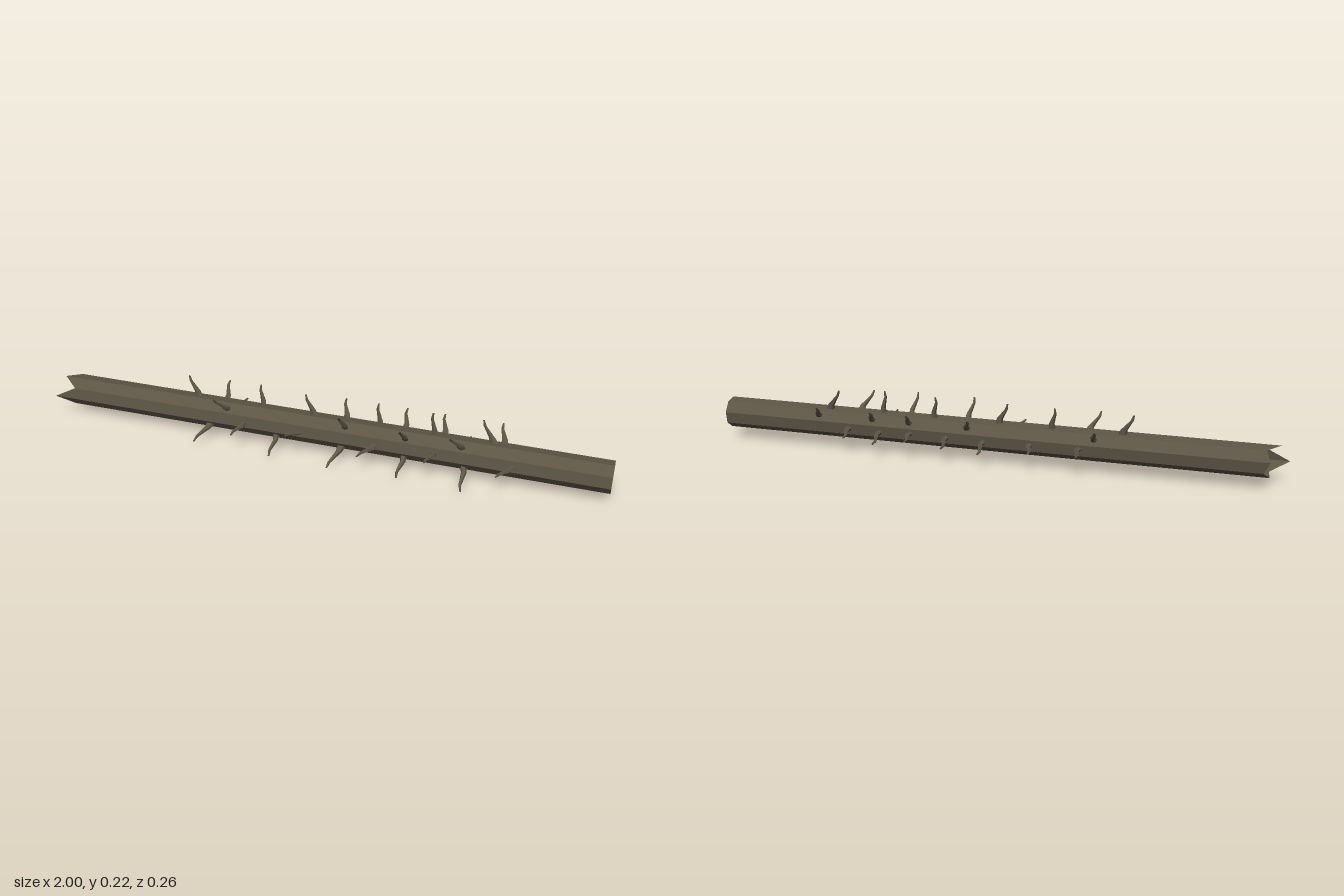
import * as THREE from 'three';

const AXIS_Y = 0.093, RADIUS = 0.055;
const rad = THREE.MathUtils.degToRad;

// Thin open eight-sided stalk lying along x, snapped off raggedly at its -x end
function stalkGeometry() {
  const brokenEnd = [-1, -0.935, -0.94, -0.92, -0.94, -0.925, -0.97, -0.92];
  const geo = new THREE.CylinderGeometry(RADIUS, RADIUS, 2, 8, 1, true, rad(14));
  geo.rotateZ(-Math.PI / 2);
  const p = geo.attributes.position;
  for (let i = 0; i < p.count; i++) {
    if (p.getX(i) < 0) p.setX(i, brokenEnd[(i % 9) % 8]);
  }
  return geo;
}

// Tapered thorn growing along y, its tip swept sideways by lean
function thornGeometry(length, lean) {
  const geo = new THREE.CylinderGeometry(0.003, 0.011, 1, 5, 4);
  geo.translate(0, 0.5, 0);
  const p = geo.attributes.position;
  for (let i = 0; i < p.count; i++) {
    const t = p.getY(i);
    const sway = 0.004 * Math.sin(t * Math.PI * 2);
    const flare = 1 + Math.abs(lean) * 12 * (1 - t);
    p.setXYZ(i, p.getX(i) * flare + lean * t + sway, t * length, p.getZ(i) * 0.9);
  }
  geo.computeVertexNormals();
  return geo;
}

// Rows around the stalk; each thorn is [base x, tip x, angle up from +z, tip radius]
const rows = {
  topThorn: [
    [-0.45, -0.488, 97, 0.122], [-0.21, -0.22, 100, 0.127], [-0.02, -0.052, 94, 0.122],
    [0.212, 0.205, 98, 0.128], [0.402, 0.396, 93, 0.13], [0.605, 0.563, 101, 0.125],
  ],
  upperFrontThorn: [
    [-0.33, -0.362, 50, 0.125], [0.1, 0.092, 53, 0.134],
    [0.312, 0.308, 46, 0.142], [0.505, 0.472, 49, 0.132],
  ],
  frontThorn: [
    [-0.265, -0.28, 0, 0.133], [-0.045, -0.085, 12, 0.125], [0.21, 0.17, -1, 0.13],
    [0.415, 0.4, 8, 0.13], [0.68, 0.637, 3, 0.125],
  ],
  lowerFrontThorn: [
    [-0.395, -0.435, -35, 0.127], [-0.148, -0.155, -39, 0.13], [0.09, 0.055, -42, 0.135],
    [0.31, 0.302, -37, 0.13], [0.515, 0.522, -43, 0.135],
  ],
  backThorn: [
    [-0.31, -0.315, -178, 0.128], [-0.14, -0.15, -174, 0.115], [0.025, 0.022, -169, 0.133],
    [0.158, 0.152, -172, 0.13], [0.29, 0.284, -177, 0.127],
    [0.405, 0.4, -169, 0.133], [0.52, 0.51, -174, 0.128],
  ],
  upperBackThorn: [
    [-0.36, -0.368, 142, 0.126], [0.085, 0.068, 142, 0.126], [0.295, 0.288, 142, 0.126],
    [0.432, 0.42, 142, 0.126], [0.635, 0.62, 142, 0.126],
  ],
};

export function createModel() {
  const model = new THREE.Group();
  model.name = 'thornyStalk';
  const bark = new THREE.MeshStandardMaterial({
    color: 0x5c5546, flatShading: true, side: THREE.DoubleSide,
  });

  const stalk = new THREE.Mesh(stalkGeometry(), bark);
  stalk.name = 'stalk';
  stalk.position.y = AXIS_Y;
  model.add(stalk);

  // Thorns start just inside the stalk wall and point outward
  const root = 0.047;
  for (const [name, thorns] of Object.entries(rows)) {
    const row = new THREE.Group();
    row.name = name + 'Row';
    for (const [base, tip, angle, reach] of thorns) {
      const thorn = new THREE.Mesh(thornGeometry(reach - root, tip - base), bark);
      const a = rad(angle);
      thorn.name = name;
      thorn.rotation.x = Math.PI / 2 - a;
      thorn.position.set(base, AXIS_Y + root * Math.sin(a), root * Math.cos(a));
      row.add(thorn);
    }
    model.add(row);
  }
  return model;
}
